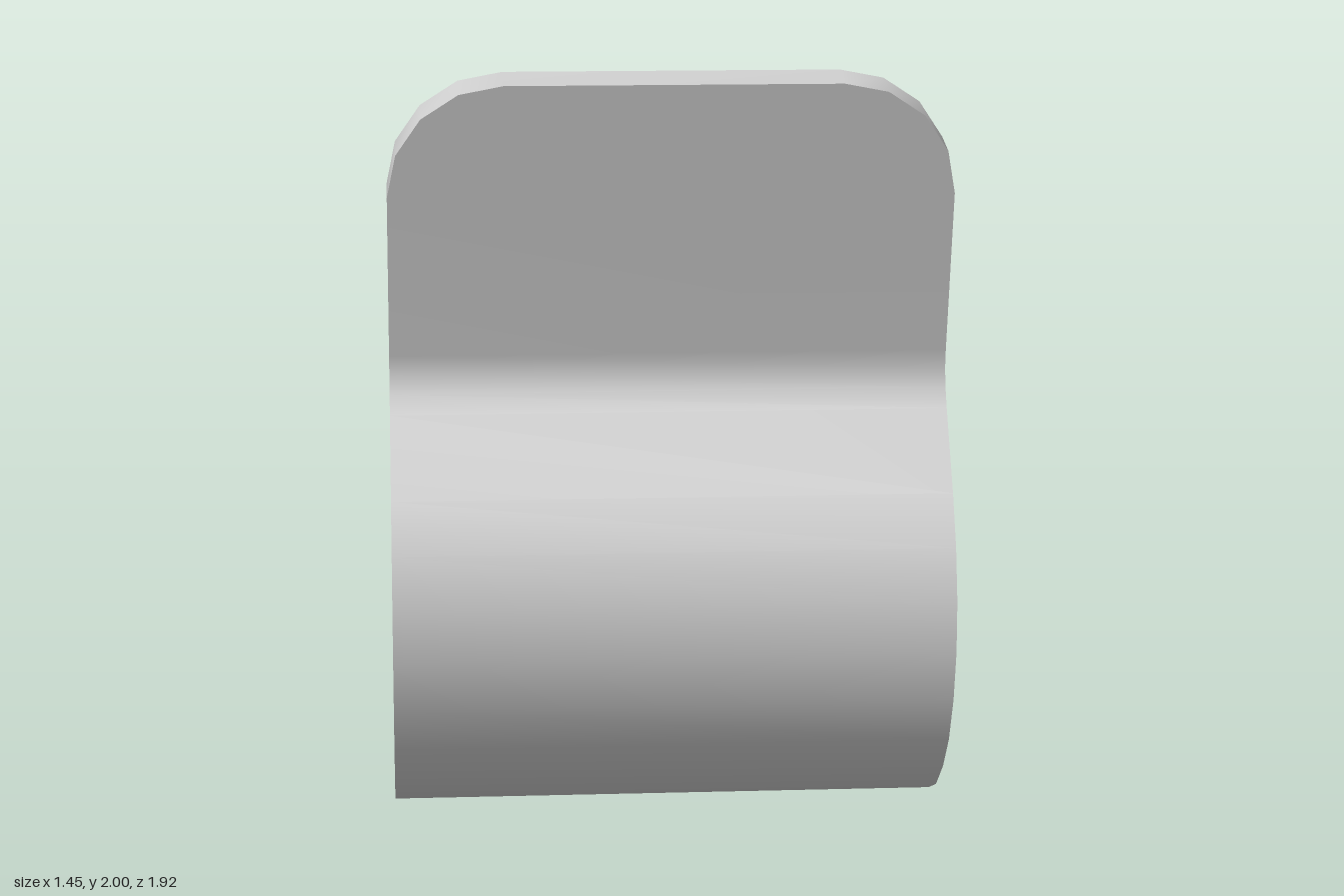
import * as THREE from 'three';

const HALF = 0.725; // half width of the sheet

// Strip of quads between two rails, smooth along its length.
function strip(a, b, closed = false) {
  const n = a.length;
  const position = [];
  const index = [];
  for (let i = 0; i < n; i++) position.push(...a[i], ...b[i]);
  for (let i = 0; i < (closed ? n : n - 1); i++) {
    const p = 2 * i;
    const q = 2 * ((i + 1) % n);
    index.push(p, q, q + 1, p, q + 1, p + 1);
  }
  const geometry = new THREE.BufferGeometry();
  geometry.setAttribute('position', new THREE.Float32BufferAttribute(position, 3));
  geometry.setIndex(index);
  geometry.computeVertexNormals();
  return geometry;
}

// Stations along the bent sheet: outer z, outer y, inner z, inner y, half width.
function stations() {
  const rows = [];
  const top = [0.88, 1.975, 0.77, 2.0];
  const neck = [0.702, 1.26, 0.597, 1.285];
  // rounded upper corners on the straight part of the back
  for (let k = 4; k >= 0; k--) {
    const angle = (k / 4) * Math.PI / 2;
    const t = 0.405 * (1 - Math.sin(angle));
    rows.push([...top.map((v, j) => v + (neck[j] - v) * t), HALF - 0.295 * (1 - Math.cos(angle))]);
  }
  // neck bend, belly curve and flat seat
  const bend = [
    neck,
    [0.695, 1.21, 0.588, 1.21],
    [0.707, 1.16, 0.598, 1.13],
    [0.733, 1.11, 0.63, 1.06],
    [0.86, 0.91, 0.765, 0.855],
    [0.925, 0.78, 0.82, 0.75],
    [0.96, 0.645, 0.848, 0.635],
    [0.96, 0.51, 0.848, 0.525],
    [0.925, 0.375, 0.82, 0.415],
    [0.86, 0.25, 0.77, 0.315],
    [0.77, 0.15, 0.69, 0.23],
    [0.655, 0.065, 0.605, 0.165],
    [0.53, 0.017, 0.495, 0.13],
    [0.4, 0, 0.38, 0.115],
    [-0.77, 0, -0.75, 0.115],
  ];
  for (const r of bend) rows.push([...r, HALF]);
  // lifted seat edge with rounded corners
  rows.push(
    [-0.815, 0.002, -0.79, 0.117, HALF],
    [-0.875, 0.012, -0.845, 0.123, 0.71],
    [-0.925, 0.027, -0.89, 0.134, 0.66],
    [-0.948, 0.036, -0.91, 0.141, 0.62],
    [-0.96, 0.041, -0.92, 0.146, 0.575],
  );
  return rows;
}

export function createModel() {
  const group = new THREE.Group();
  group.name = 'bentSeat';
  const material = new THREE.MeshStandardMaterial({ color: 0xcccccc });
  material.name = 'light grey';

  const rows = stations();
  const outer = (s) => rows.map(([z, y, , , w]) => [s * w, y, z]);
  const inner = (s) => rows.map(([, , z, y, w]) => [s * w, y, z]);
  const add = (name, geometry) => {
    const mesh = new THREE.Mesh(geometry, material);
    mesh.name = name;
    group.add(mesh);
  };

  add('outerSurface', strip(outer(-1), outer(1)));
  add('innerSurface', strip(inner(1), inner(-1)));
  // edge band: down the left side, round the seat edge, up the right side
  add('edgeBand', strip(
    [...outer(1), ...outer(-1).reverse()],
    [...inner(1), ...inner(-1).reverse()],
    true,
  ));
  return group;
}
